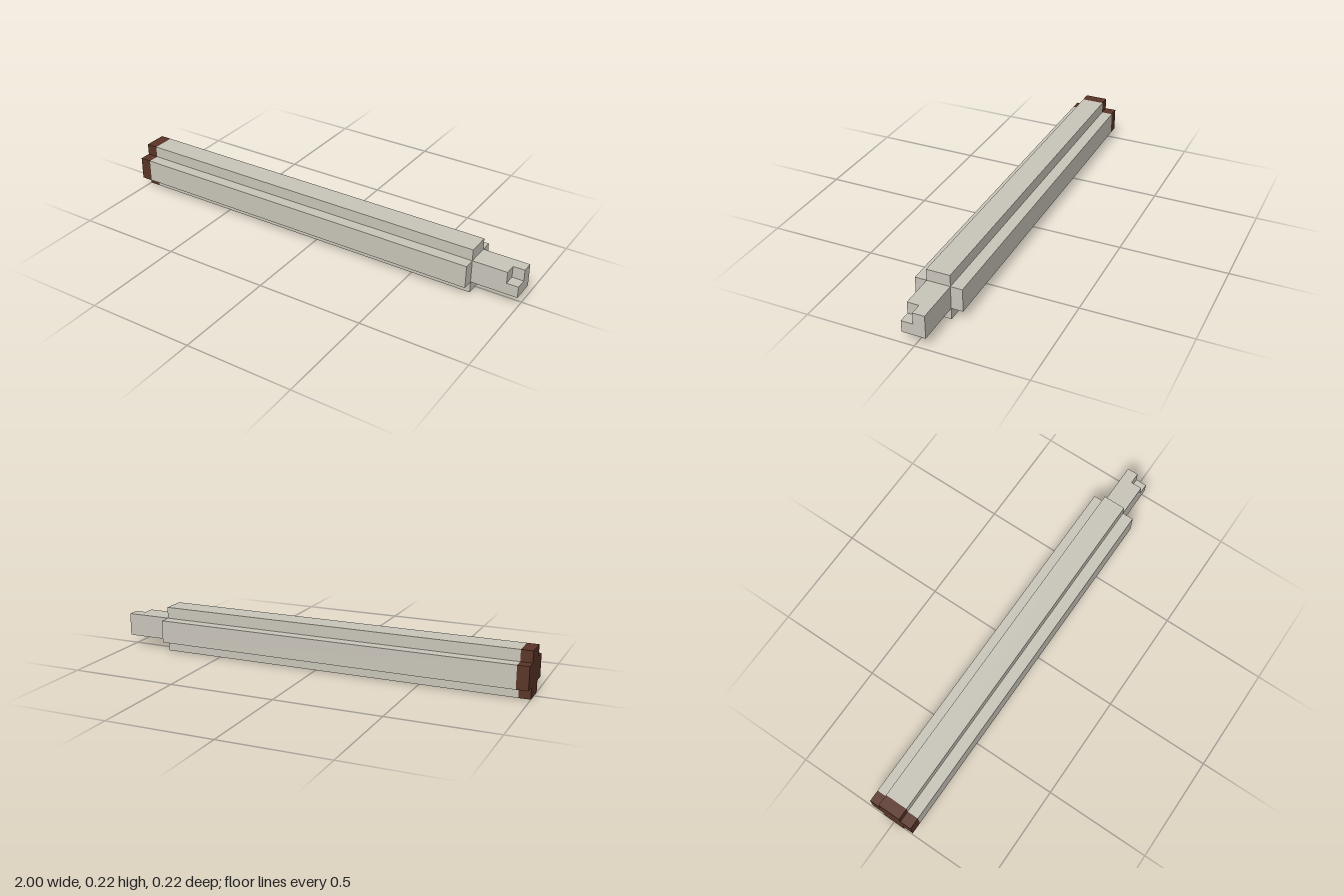
import * as THREE from 'three';

const R = 0.108; // outer half-width of the cross section
const H = 0.054; // half-width of each arm, and of the tip

const paleStone = new THREE.MeshStandardMaterial({ color: 0xc9c5ba });
paleStone.name = 'paleStone';
const darkBrown = new THREE.MeshStandardMaterial({ color: 0x5a3527 });
darkBrown.name = 'darkBrown';

// Extrude a profile along x, from x0 to x1 (profile x becomes -z)
function bar(name, points, x0, x1, material) {
  const shape = new THREE.Shape(points.map(([a, b]) => new THREE.Vector2(a, b)));
  const geometry = new THREE.ExtrudeGeometry(shape, { depth: x1 - x0, bevelEnabled: false });
  geometry.rotateY(Math.PI / 2).translate(x0, R, 0);
  const mesh = new THREE.Mesh(geometry, material);
  mesh.name = name;
  return mesh;
}

export function createModel() {
  const model = new THREE.Group();
  model.name = 'crossBar';

  const cross = [
    [-H, -R], [H, -R], [H, -H], [R, -H], [R, H], [H, H],
    [H, R], [-H, R], [-H, H], [-R, H], [-R, -H], [-H, -H],
  ];
  const square = [[-H, -H], [H, -H], [H, H], [-H, H]];
  // Square with its upper front quarter cut away
  const notched = [[-H, -H], [H, -H], [H, H], [0, H], [0, 0], [-H, 0]];

  model.add(
    bar('endCap', cross, -1, -0.946, darkBrown),
    bar('shaft', cross, -0.946, 0.784, paleStone),
    bar('tip', square, 0.784, 0.946, paleStone),
    bar('notchedTipEnd', notched, 0.946, 1, paleStone),
  );
  return model;
}
